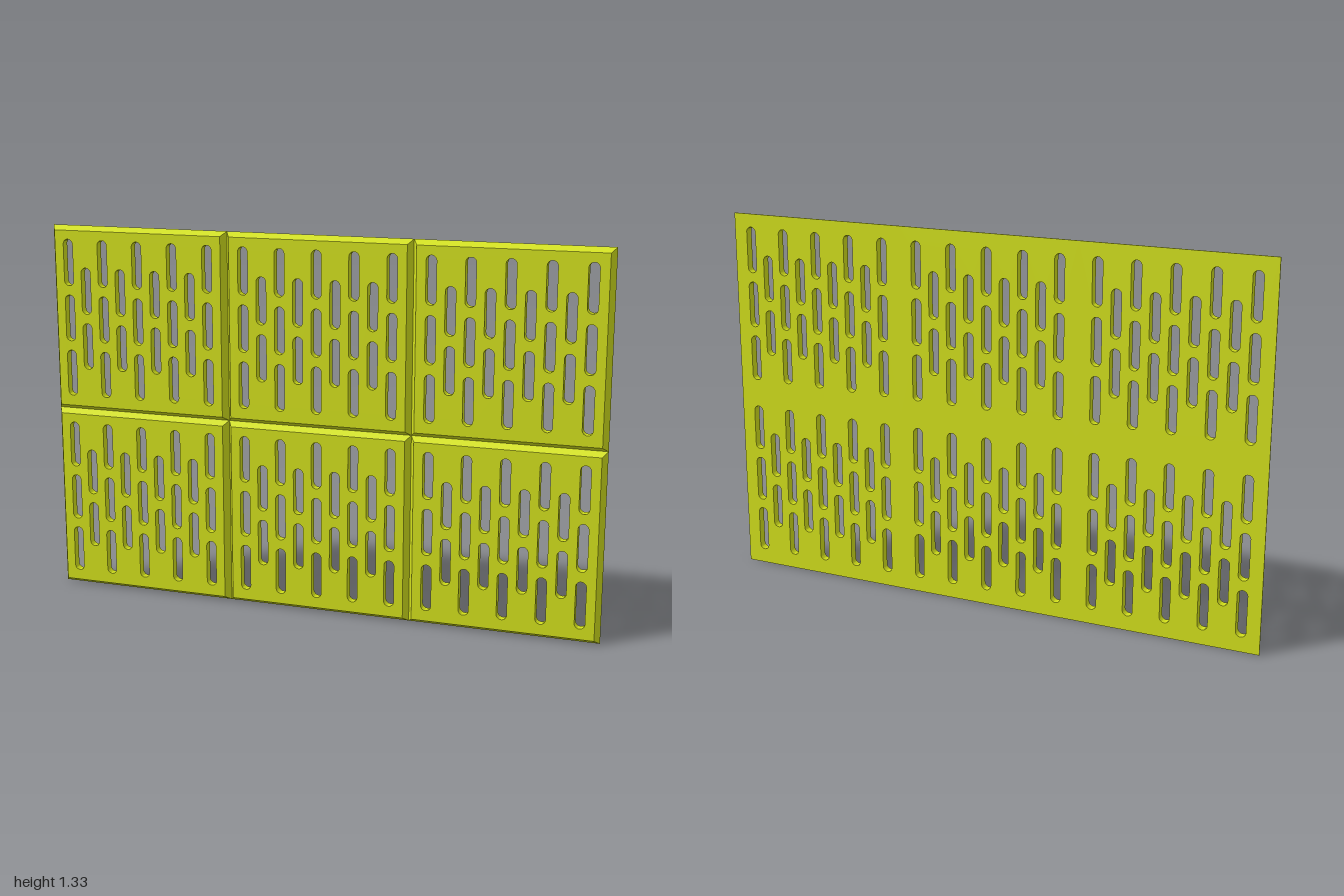
import * as THREE from 'three';
import { toCreasedNormals } from 'three/addons/utils/BufferGeometryUtils.js';

const TILE = 2 / 3;      // square tile pitch
const HALF = TILE / 2;
const DEPTH = 0.03;
const LIP = 0.004;       // straight rim at the back, before the chamfer
const CHAMFER = 0.016;

// Upright slot with round ends, centred on (x, y)
function slot(x, y, width = 0.036, length = 0.166) {
  const r = width / 2, h = length / 2 - r;
  const path = new THREE.Path();
  path.absarc(x, y + h, r, 0, Math.PI, false);
  path.absarc(x, y - h, r, Math.PI, Math.PI * 2, false);
  path.closePath();
  return path;
}

// Square plate with staggered slots and chamfered front edges
function tileGeometry() {
  const shape = new THREE.Shape([
    new THREE.Vector2(-HALF, -HALF), new THREE.Vector2(HALF, -HALF),
    new THREE.Vector2(HALF, HALF), new THREE.Vector2(-HALF, HALF),
  ]);
  for (let col = -4; col <= 4; col++) {
    const rows = col % 2 === 0 ? [-0.2, 0, 0.2] : [-0.1, 0.1];
    for (const y of rows) shape.holes.push(slot(col * TILE / 10, y + 0.003));
  }
  const geo = new THREE.ExtrudeGeometry(shape, {
    depth: DEPTH, steps: 2, bevelEnabled: false, curveSegments: 10,
  });

  // Middle layer becomes the lip; the front outline is drawn inwards
  const p = geo.attributes.position;
  const inset = (v) => (Math.abs(v) > HALF - 1e-4 ? Math.sign(v) * (HALF - CHAMFER) : v);
  for (let i = 0; i < p.count; i++) {
    const z = p.getZ(i);
    if (z > DEPTH * 0.9) p.setXY(i, inset(p.getX(i)), inset(p.getY(i)));
    else if (z > DEPTH * 0.1) p.setZ(i, LIP);
  }
  geo.translate(0, 0, -DEPTH / 2);
  return toCreasedNormals(geo, 0.45);
}

export function createModel() {
  const model = new THREE.Group();
  model.name = 'slottedPanel';
  const material = new THREE.MeshStandardMaterial({ color: 0xd2e01c });
  const geometry = tileGeometry();

  // Three by two tiles, joined along their back rims
  for (let row = 0; row < 2; row++) {
    for (let col = 0; col < 3; col++) {
      const tile = new THREE.Mesh(geometry, material);
      tile.name = `tileRow${row + 1}Column${col + 1}`;
      tile.position.set((col - 1) * TILE, (row + 0.5) * TILE, 0);
      model.add(tile);
    }
  }
  return model;
}
